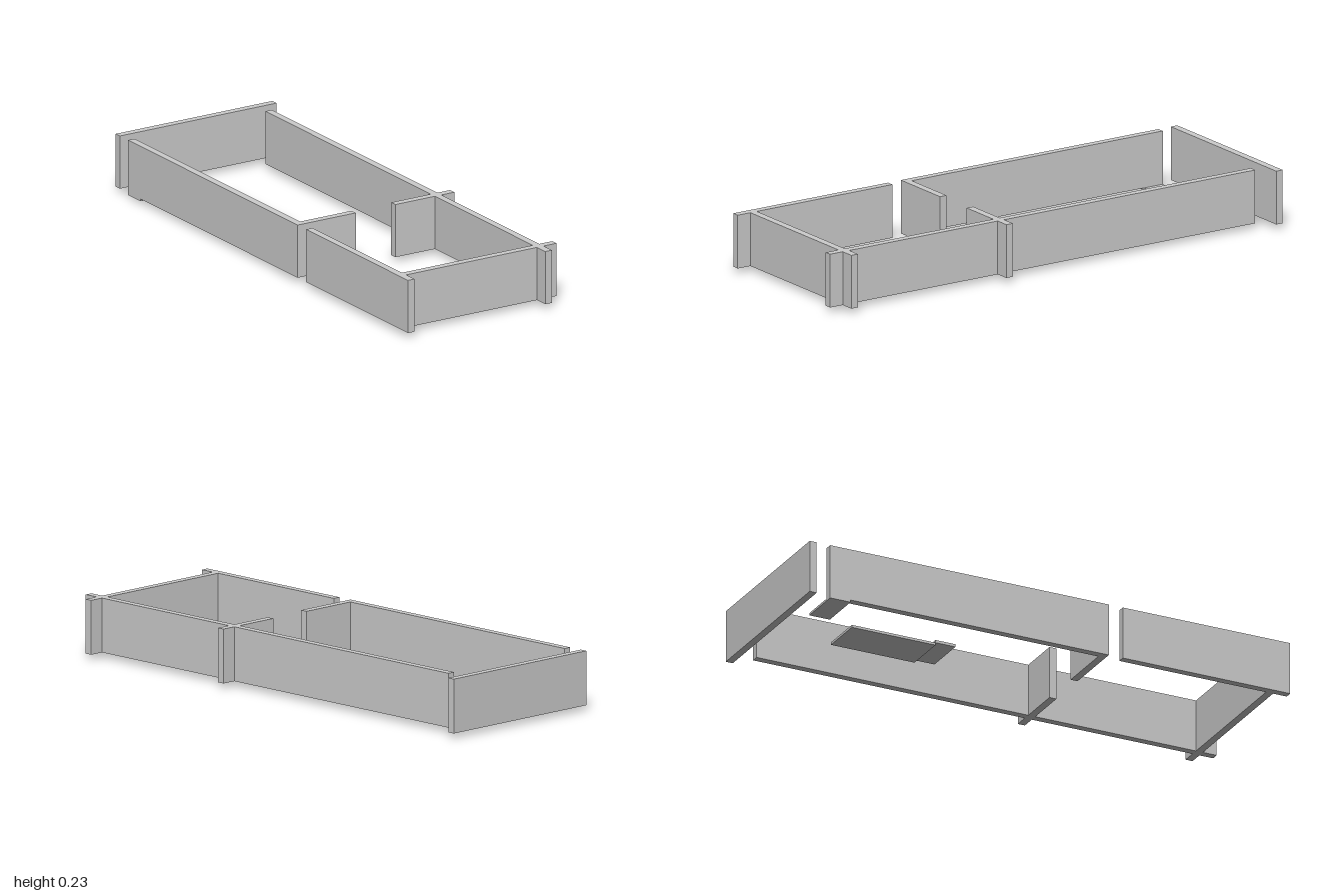
import * as THREE from 'three';

export function createModel() {
  const group = new THREE.Group();
  group.name = 'roomLayout';
  const material = new THREE.MeshStandardMaterial({ color: 0xcccccc, flatShading: true });

  // Box given by its extents on each axis
  function block(name, [x0, x1], [y0, y1], [z0, z1]) {
    const mesh = new THREE.Mesh(new THREE.BoxGeometry(x1 - x0, y1 - y0, z1 - z0), material);
    mesh.position.set((x0 + x1) / 2, (y0 + y1) / 2, (z0 + z1) / 2);
    mesh.name = name;
    group.add(mesh);
  }

  const T = 0.029; // wall thickness
  const E = 0.347; // half width
  const wallY = [0.021, 0.228];
  const alongX = (name, x0, x1, z) => block(name, [x0, x1], wallY, [z, z + T]);
  const alongZ = (name, x, z0, z1) => block(name, [x, x + T], wallY, [z0, z1]);

  // Long side walls, with a door gap on the right
  alongZ('rightWallBack', -E, -0.915, 0.245);
  alongZ('rightWallFront', -E, 0.303, 1);
  alongZ('leftWall', 0.261, -0.915, 1);

  // Cross walls
  alongX('backWall', -E, E, -1);
  alongX('frontWall', -E, E, 0.914);
  alongX('partitionRight', -E, -0.089, 0.216);
  alongX('partitionLeft', 0.086, E, 0.216);

  // Low floor slabs
  block('cornerSlab', [-E, -0.175], [0.012, 0.021], [-0.915, -0.83]);
  block('floorSlab', [-0.175, -0.002], [0, 0.01], [-0.738, -0.39]);
  block('floorStep', [-0.175, -0.002], [0.01, 0.021], [-0.39, -0.307]);

  return group;
}
